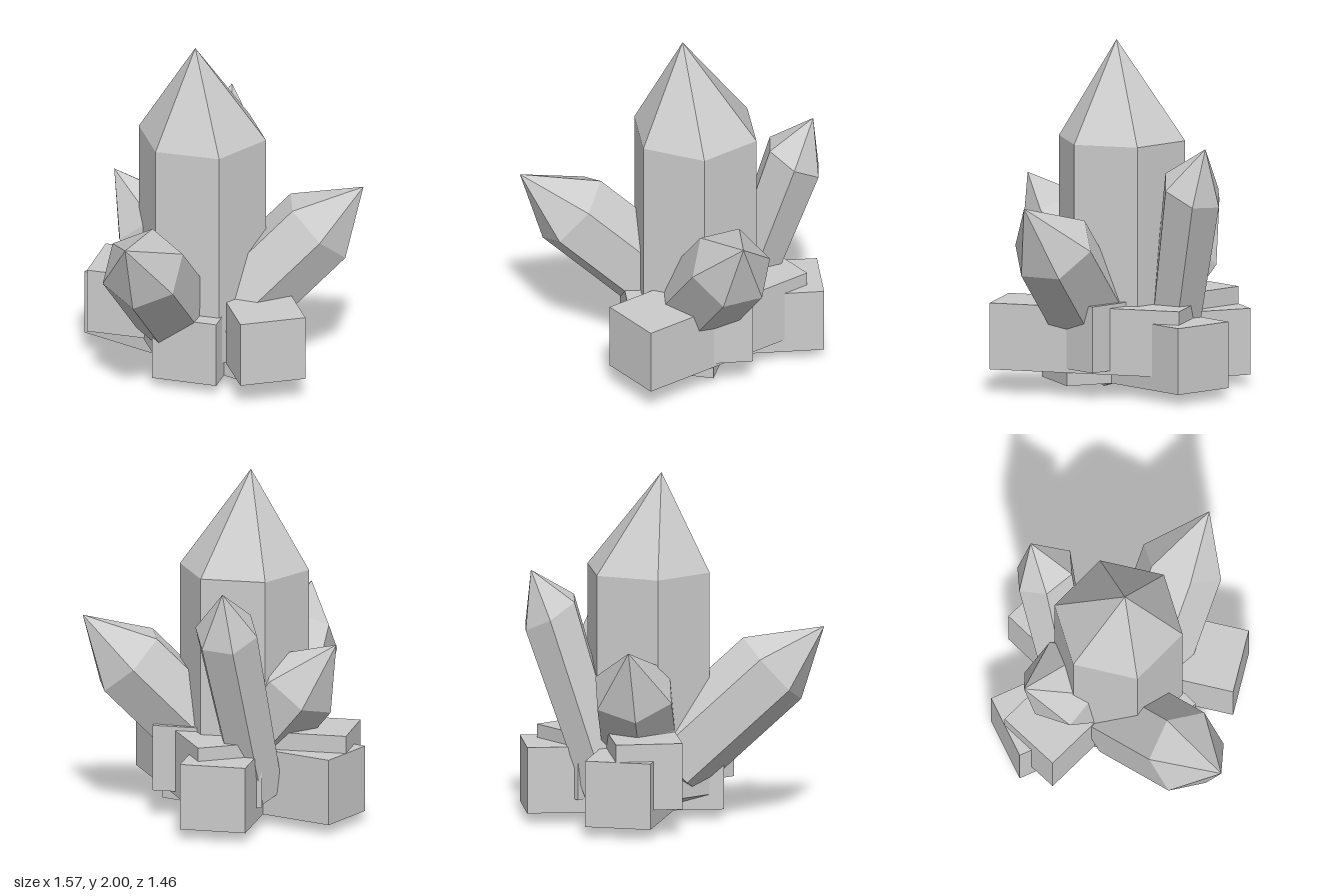
import * as THREE from 'three';

const vec = (a) => new THREE.Vector3(...a);
const rock = new THREE.MeshStandardMaterial({ color: 0xcccccc, flatShading: true });

// Six-sided crystal: shoulder ring and base ring joined by flat sides,
// closed by an off-centre point above and a blunt tip below.
function crystal({ name, shoulder, axis, spoke, radius, point, base, taper = 1, tip }) {
  const n = vec(axis).normalize();
  const u = vec(spoke).projectOnPlane(n).normalize();
  const v = n.clone().cross(u);
  const ring = (center, r) => Array.from({ length: 6 }, (_, i) => {
    const a = i * Math.PI / 3;
    return vec(center).addScaledVector(u, r * Math.cos(a)).addScaledVector(v, r * Math.sin(a));
  });
  const top = ring(shoulder, radius);
  const bottom = ring(base, radius * taper);
  const apex = vec(point);
  const foot = tip ? vec(tip) : vec(base).addScaledVector(n, -0.3 * radius);
  const points = [];
  for (let i = 0; i < 6; i++) {
    const j = (i + 1) % 6;
    points.push(bottom[i], bottom[j], top[j], bottom[i], top[j], top[i]);
    points.push(top[i], top[j], apex, bottom[j], bottom[i], foot);
  }
  const geometry = new THREE.BufferGeometry().setFromPoints(points);
  geometry.computeVertexNormals();
  const mesh = new THREE.Mesh(geometry, rock);
  mesh.name = name;
  return mesh;
}

// Long square block lying flat, its length along the heading (dx, dz).
function block(name, [x, y, z], [dx, dz]) {
  const mesh = new THREE.Mesh(new THREE.BoxGeometry(0.383, 0.383, 1.13), rock);
  mesh.position.set(x, y, z);
  mesh.rotation.y = Math.atan2(dx, dz);
  mesh.name = name;
  return mesh;
}

export function createModel() {
  const group = new THREE.Group();
  group.name = 'crystalCluster';

  // Crystals
  const crystals = [
    { name: 'mainCrystal', shoulder: [-0.08, 1.44, -0.03], axis: [0, 1, 0], spoke: [0, 0, 1],
      radius: 0.376, point: [-0.135, 2, 0.02], base: [-0.08, 0.15, -0.03], tip: [-0.09, 0, 0.08] },
    { name: 'frontRightCrystal', shoulder: [-0.567, 0.87, 0.485], axis: [-0.413, 0.677, 0.61],
      spoke: [0.1, 0.175, -0.145], radius: 0.245, point: [-0.735, 1.11, 0.73], base: [-0.24, 0.34, 0] },
    { name: 'leftCrystal', shoulder: [0.543, 0.885, 0.195], axis: [0.687, 0.712, 0.149],
      spoke: [0.052, 0, -0.24], radius: 0.245, point: [0.785, 1.145, 0.295], base: [0, 0.32, 0.077] },
    { name: 'backLeftCrystal', shoulder: [0.195, 1.2, -0.53], axis: [0.27, 0.857, -0.443],
      spoke: [-0.015, 0.09, 0.165], radius: 0.187, point: [0.25, 1.45, -0.625],
      base: [-0.06, 0.22, -0.33], taper: 0.82 },
    { name: 'backRightCrystal', shoulder: [-0.31, 0.8, -0.32], axis: [-0.45, 0.77, -0.45],
      spoke: [-0.221, 0.392, 0.893], radius: 0.245, point: [-0.48, 1.06, -0.49], base: [-0.01, 0.3, -0.02] },
  ];
  for (const c of crystals) group.add(crystal(c));

  // Crossed base blocks
  group.add(
    block('frontBlock', [0.163, 0.33, 0.065], [0, 1]),
    block('diagonalBlock', [0.014, 0.252, -0.15], [-0.525, 0.851]),
    block('sideBlock', [-0.115, 0.353, -0.144], [0.855, 0.51]),
    block('backBlock', [-0.157, 0.252, -0.15], [0.625, 0.78]),
  );
  return group;
}
